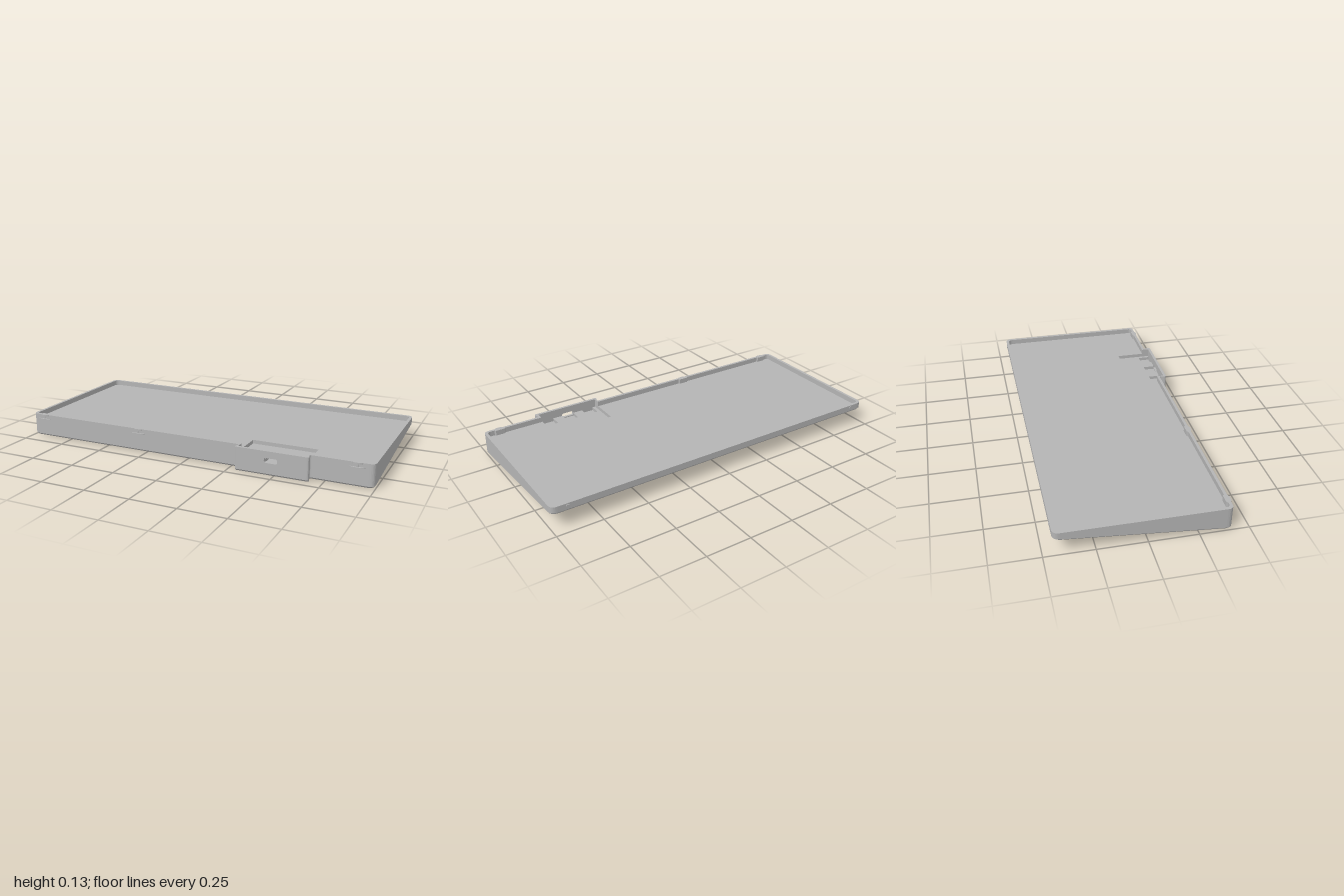
import * as THREE from 'three';

const TOP = 0.127, FLOOR = 0.098, SKIN = 0.008;
const underside = z => Math.max(0, 0.0945 * (0.45 - z));

// Closed shape in plan (x, z) from [x, z, cornerRadius] points
function outline(points) {
  const shape = new THREE.Shape();
  const n = points.length;
  points.forEach((p, i) => {
    const c = new THREE.Vector2(p[0], p[1]);
    const toward = q => new THREE.Vector2(q[0], q[1]).sub(c).setLength(p[2] || 0).add(c);
    const a = toward(points[(i + n - 1) % n]);
    const b = toward(points[(i + 1) % n]);
    if (i === 0) shape.moveTo(a.x, a.y); else shape.lineTo(a.x, a.y);
    if (p[2]) shape.quadraticCurveTo(c.x, c.y, b.x, b.y);
  });
  shape.closePath();
  return shape;
}

// Upright slab from a plan shape; bottomRule may move the lower vertices
function slab(shape, top, bottom, bottomRule) {
  const depth = top - bottom;
  const geo = new THREE.ExtrudeGeometry(shape, { depth, bevelEnabled: false, curveSegments: 6 });
  geo.rotateX(Math.PI / 2).translate(0, top, 0);
  if (bottomRule) {
    const p = geo.attributes.position;
    for (let i = 0; i < p.count; i++) bottomRule(p, i, p.getY(i) < top - depth / 2);
    geo.computeVertexNormals();
  }
  return geo;
}

// Lower vertices follow the sloping base
const onSlope = (p, i, low) => { if (low) p.setY(i, underside(p.getZ(i)) + SKIN); };

export function createModel() {
  const model = new THREE.Group();
  const grey = new THREE.MeshStandardMaterial({ color: 0xb4b4b4 });
  grey.name = 'case grey';
  const add = (name, geo) => {
    const mesh = new THREE.Mesh(geo, grey);
    mesh.name = name;
    model.add(mesh);
    return mesh;
  };

  // Outer plan with the port bulge; extra points replace the middle of the bulge front
  const casePlan = (extra = []) => outline([
    [-0.998, -0.452, 0.035], [0.998, -0.452, 0.035], [0.998, 0.415, 0.03],
    [0.672, 0.415, 0.012], [0.685, 0.455, 0.016], ...extra,
    [0.285, 0.455, 0.016], [0.298, 0.415, 0.012], [-0.998, 0.415, 0.03],
  ]);

  // Sloping underside with a softened lower edge
  add('underside', slab(casePlan(), 1, 0, (p, i, low) => {
    const x = p.getX(i), z = p.getZ(i);
    p.setY(i, underside(z) + (low ? 0 : SKIN));
    if (!low) return;
    if (Math.abs(x) > 0.96) p.setX(i, x - Math.sign(x) * 0.006);
    if (z > 0.38) p.setZ(i, z - 0.006);
    if (z < -0.41) p.setZ(i, z + 0.006);
  }));

  // Wedge body, cut out for the electronics pocket and port
  add('body', slab(casePlan([
    [0.53, 0.455], [0.53, 0.44], [0.662, 0.44], [0.662, 0.243],
    [0.302, 0.243], [0.302, 0.44], [0.44, 0.44], [0.44, 0.455],
  ]), FLOOR, 0, onSlope));

  // Raised rim
  const rim = casePlan();
  rim.holes.push(outline([
    [-0.982, -0.436, 0.025], [0.982, -0.436, 0.025], [0.982, 0.4, 0.02],
    [0.662, 0.4], [0.662, 0.44], [0.302, 0.44], [0.302, 0.4], [-0.982, 0.4, 0.02],
  ]));
  add('rim', slab(rim, TOP, FLOOR));

  // Pocket floor with three deeper notches
  const notches = [[0.575, 0.645], [0.447, 0.517], [0.32, 0.39]];
  const comb = [[0.302, 0.243], [0.662, 0.243], [0.662, 0.44]];
  for (const [a, b] of notches) comb.push([b, 0.44], [b, 0.375], [a, 0.375], [a, 0.44]);
  comb.push([0.302, 0.44]);
  add('pocketFloor', slab(outline(comb), 0.078, 0, onSlope));
  for (const [a, b] of notches) {
    add('notchFloor', slab(outline([[a, 0.375], [b, 0.375], [b, 0.44], [a, 0.44]]), 0.06, 0, onSlope));
  }

  // Front plate with the rounded port opening
  const plate = outline([[0.44, SKIN], [0.53, SKIN], [0.53, FLOOR], [0.44, FLOOR]]);
  plate.holes.push(outline([
    [0.448, 0.065, 0.01], [0.518, 0.065, 0.01], [0.518, 0.091, 0.01], [0.448, 0.091, 0.01],
  ]));
  add('portPlate', new THREE.ExtrudeGeometry(plate, { depth: 0.015, bevelEnabled: false })
    .translate(0, 0, 0.44));

  // Snap clips along the front wall
  const lens = (x, z, half, reach) => {
    const s = new THREE.Shape();
    s.absellipse(x, z, half, reach, 0, Math.PI * 2);
    return s;
  };
  for (const x of [-0.92, -0.3, 0.91]) {
    add('clipLedge', slab(lens(x, 0.413, 0.042, 0.012), 0.104, 0.099));
    add('clipTab', slab(lens(x, 0.413, 0.026, 0.009), TOP, 0.118));
    add('clipStem', slab(lens(x, 0.413, 0.008, 0.006), 0.118, 0.104));
    add('clipBacking', slab(outline([
      [x - 0.035, 0.405], [x - 0.025, 0.392], [x + 0.025, 0.392], [x + 0.035, 0.405],
    ]), TOP, FLOOR - 0.002));
  }

  // Small locating pegs on the back wall
  for (const side of [-1, 1]) {
    add('backPeg', new THREE.BoxGeometry(0.018, 0.008, 0.01)).position.set(side * 0.91, 0.116, -0.451);
  }

  return model;
}
